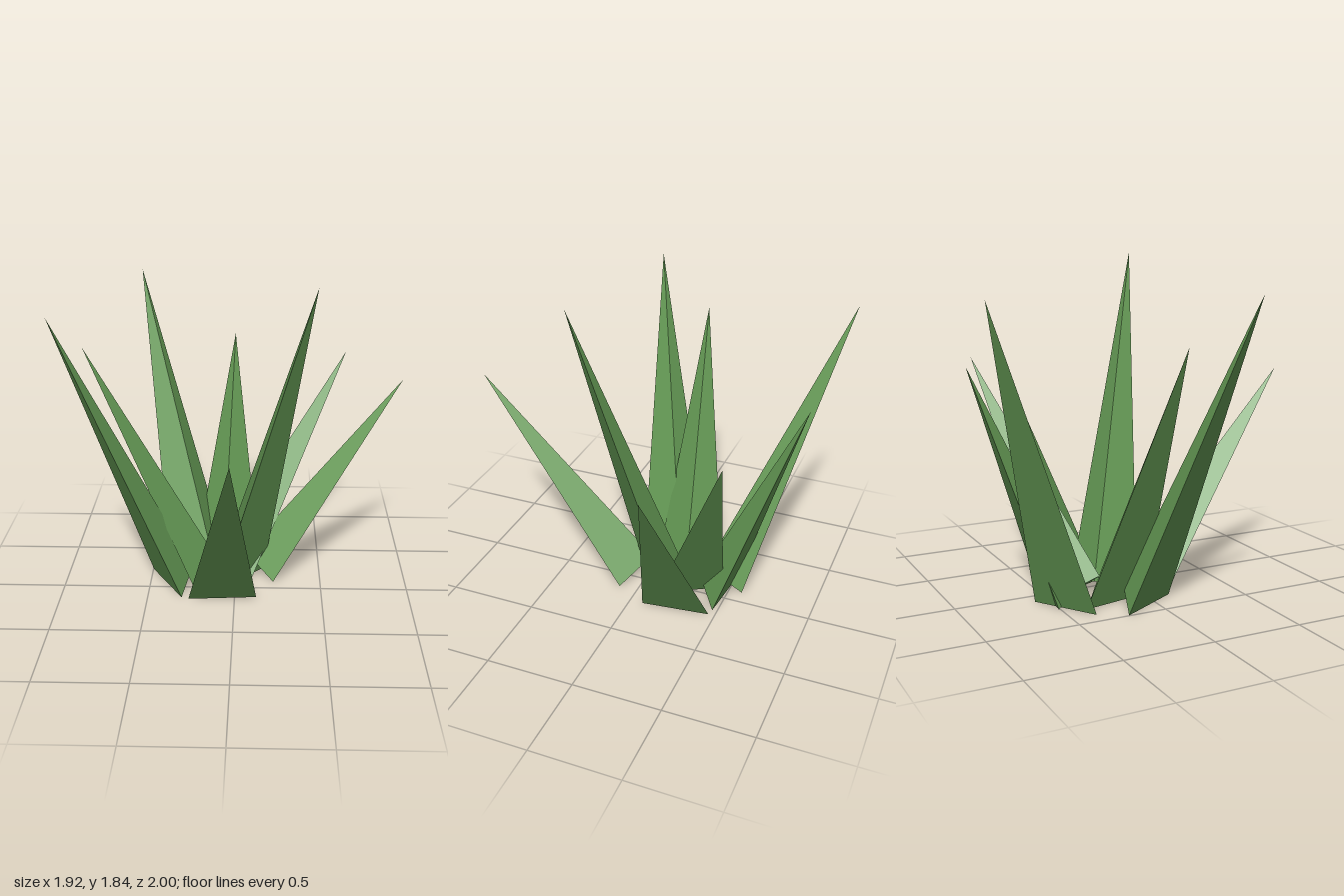
import * as THREE from 'three';

const WIDTH = 0.39;   // root width of a blade
const DEPTH = 0.185;  // root thickness of a blade
const TAPER = 0.06;   // lean of the root cut against the outer face, in radians

// One blade: a three-sided spike with a flat outer face and an inner ridge.
// root is the middle of its outer bottom edge, tip its point.
function bladeGeometry(root, tip) {
  const out = tip.clone().sub(root).setY(0);
  const lean = Math.atan2(tip.y, out.length()) - TAPER;
  out.normalize();
  const side = new THREE.Vector3(0, 1, 0).cross(out).multiplyScalar(WIDTH / 2);
  const left = root.clone().add(side);
  const right = root.clone().sub(side);
  const ridge = root.clone().addScaledVector(out, -DEPTH * Math.sin(lean));
  ridge.y = DEPTH * Math.cos(lean);

  const geometry = new THREE.BufferGeometry().setFromPoints([
    right, left, tip,    // outer face
    left, ridge, tip,    // inner faces
    ridge, right, tip,
    right, ridge, left,  // root cut
  ]);
  geometry.computeVertexNormals();
  return geometry;
}

export function createModel() {
  const plant = new THREE.Group();
  plant.name = 'spikyPlant';
  const leaf = new THREE.MeshStandardMaterial({ color: 0x659a55, flatShading: true });

  // root x, root z, tip x, tip y, tip z
  const blades = {
    frontBlade: [-0.07, 0.125, 0, 1.17, 1.0],
    tallBlade: [0.035, -0.11, 0.43, 1.84, 0.25],
    leftBlade: [0.2, -0.27, 0.96, 1.17, -0.36],
    backLeftBlade: [0, -0.29, 0.65, 1.25, -0.66],
    backBlade: [-0.06, -0.49, -0.02, 1.29, -0.91],
    backRightBlade: [-0.25, -0.47, -0.6, 1.67, -1.0],
    rightBlade: [-0.28, -0.185, -0.84, 1.43, -0.07],
    frontRightBlade: [-0.4, -0.045, -0.96, 1.68, 0.27],
  };
  for (const [name, [rx, rz, tx, ty, tz]] of Object.entries(blades)) {
    const mesh = new THREE.Mesh(
      bladeGeometry(new THREE.Vector3(rx, 0, rz), new THREE.Vector3(tx, ty, tz)), leaf);
    mesh.name = name;
    plant.add(mesh);
  }
  return plant;
}
